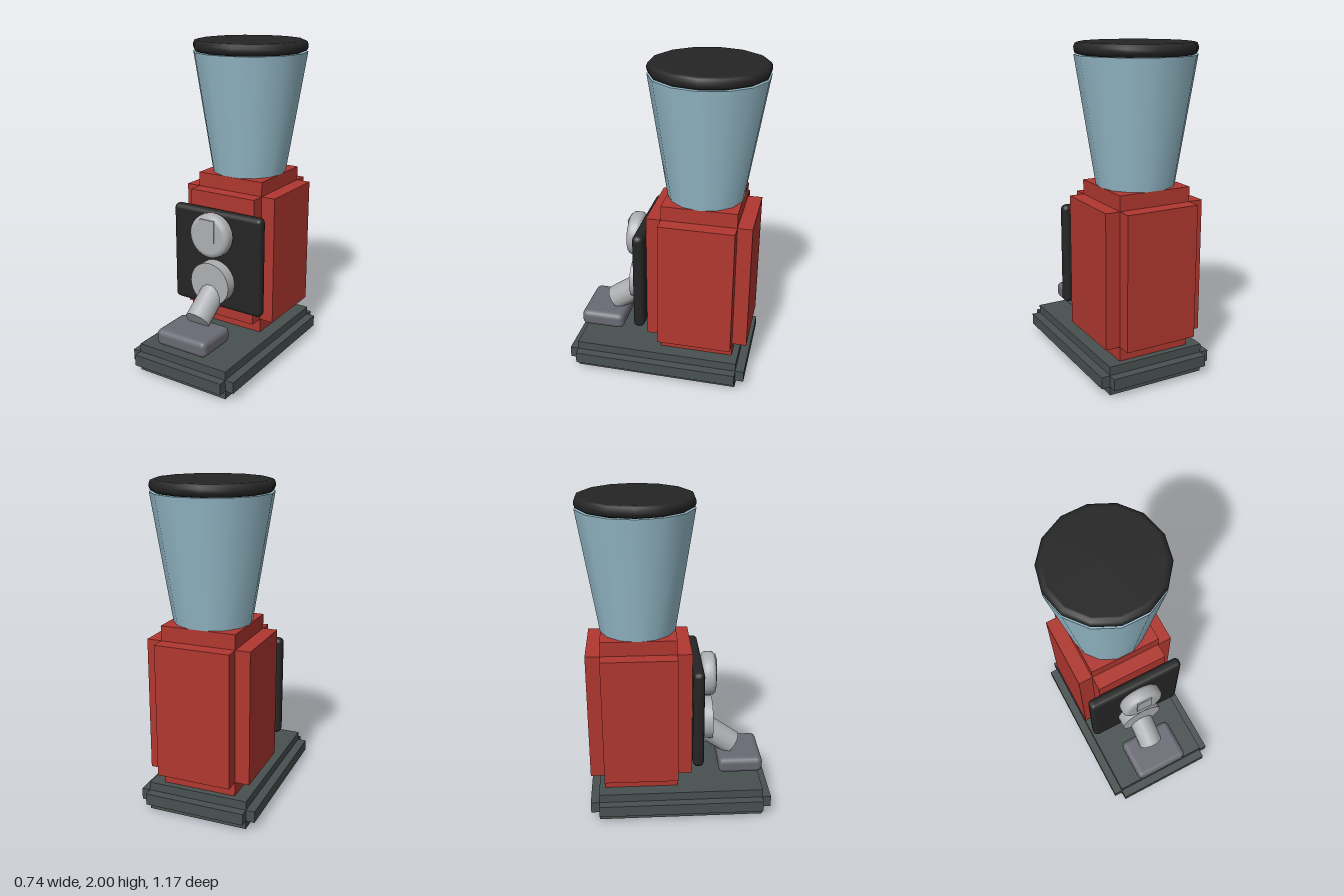
import * as THREE from 'three';
import { RoundedBoxGeometry } from 'three/addons/geometries/RoundedBoxGeometry.js';

function mat(name, color) {
  const m = new THREE.MeshStandardMaterial({ color });
  m.name = name;
  return m;
}

export function createModel() {
  const red = mat('red enamel', 0xb0372f);
  const dark = mat('dark slate', 0x485050);
  const black = mat('black plastic', 0x252525);
  const glass = mat('blue glass', 0x96bccb);
  const metal = mat('light metal', 0xadafb2);
  const tray = mat('grey metal', 0x696a73);

  const model = new THREE.Group();
  model.name = 'coffeeGrinder';

  function add(name, geometry, material, x = 0, y = 0, z = 0, parent = model) {
    const mesh = new THREE.Mesh(geometry, material);
    mesh.name = name;
    mesh.position.set(x, y, z);
    parent.add(mesh);
    return mesh;
  }

  // Block with stepped edges: three crossed boxes, each full size on one axis
  function steppedBlock(name, size, step, material, y, z) {
    const group = new THREE.Group();
    group.name = name;
    group.position.set(0, y, z);
    ['Sides', 'Core', 'Ends'].forEach((label, axis) => {
      const s = size.map((v, i) => (i === axis ? v : v - 2 * step));
      add(name + label, new THREE.BoxGeometry(...s), material, 0, 0, 0, group);
    });
    model.add(group);
  }

  // Disc with rounded rims, centred on the y axis
  function roundedDisc(radius, height, bevel, sides, steps) {
    const points = [new THREE.Vector2(0, -height / 2), new THREE.Vector2((radius - bevel) * 0.97, -height / 2)];
    for (const end of [-1, 1]) {
      for (let i = 0; i <= steps; i++) {
        const a = (Math.PI / 2) * (end < 0 ? i / steps - 1 : i / steps);
        points.push(new THREE.Vector2(
          radius - bevel + bevel * Math.cos(a),
          end * (height / 2 - bevel) + bevel * Math.sin(a)));
      }
    }
    points.push(new THREE.Vector2((radius - bevel) * 0.97, height / 2), new THREE.Vector2(0, height / 2));
    return new THREE.LatheGeometry(points, sides);
  }

  // Base and body
  steppedBlock('base', [0.74, 0.18, 1.145], 0.054, dark, 0.09, 0.0125);
  steppedBlock('body', [0.64, 1.0, 0.64], 0.09, red, 0.68, -0.237);

  // Hopper and lid
  const hopperZ = -0.238;
  add('hopper', new THREE.CylinderGeometry(0.355, 0.235, 0.75, 14).rotateY(Math.PI / 2), glass, 0, 1.555, hopperZ);
  add('lid', roundedDisc(0.355, 0.07, 0.025, 14, 2).rotateY(Math.PI / 2), black, 0, 1.965, hopperZ);

  // Front panel
  add('frontPanel', new RoundedBoxGeometry(0.64, 0.64, 0.07, 2, 0.03), black, 0, 0.68, 0.118);

  // Dial with a raised marker
  add('dial', roundedDisc(0.14, 0.09, 0.03, 32, 3).rotateX(Math.PI / 2), metal, 0, 0.86, 0.199);
  add('dialMarker', new THREE.BoxGeometry(0.1, 0.14, 0.03), metal, 0, 0.9, 0.235);

  // Outlet flange and sloping spout
  add('spoutFlange', new THREE.CylinderGeometry(0.138, 0.138, 0.075, 32).rotateX(Math.PI / 2), metal, 0, 0.545, 0.19);
  const start = new THREE.Vector3(0, 0.493, 0.16);
  const end = new THREE.Vector3(0, 0.35, 0.36);
  const axis = end.clone().sub(start);
  const spout = add('spout',
    new THREE.CylinderGeometry(0.08, 0.08, axis.length(), 12).rotateY(Math.PI / 12), metal);
  spout.position.copy(start).add(end).multiplyScalar(0.5);
  spout.quaternion.setFromUnitVectors(new THREE.Vector3(0, 1, 0), axis.normalize());

  // Catch pad under the spout
  add('catchPad', new RoundedBoxGeometry(0.36, 0.105, 0.284, 2, 0.035), tray, 0, 0.272, 0.405);

  return model;
}
